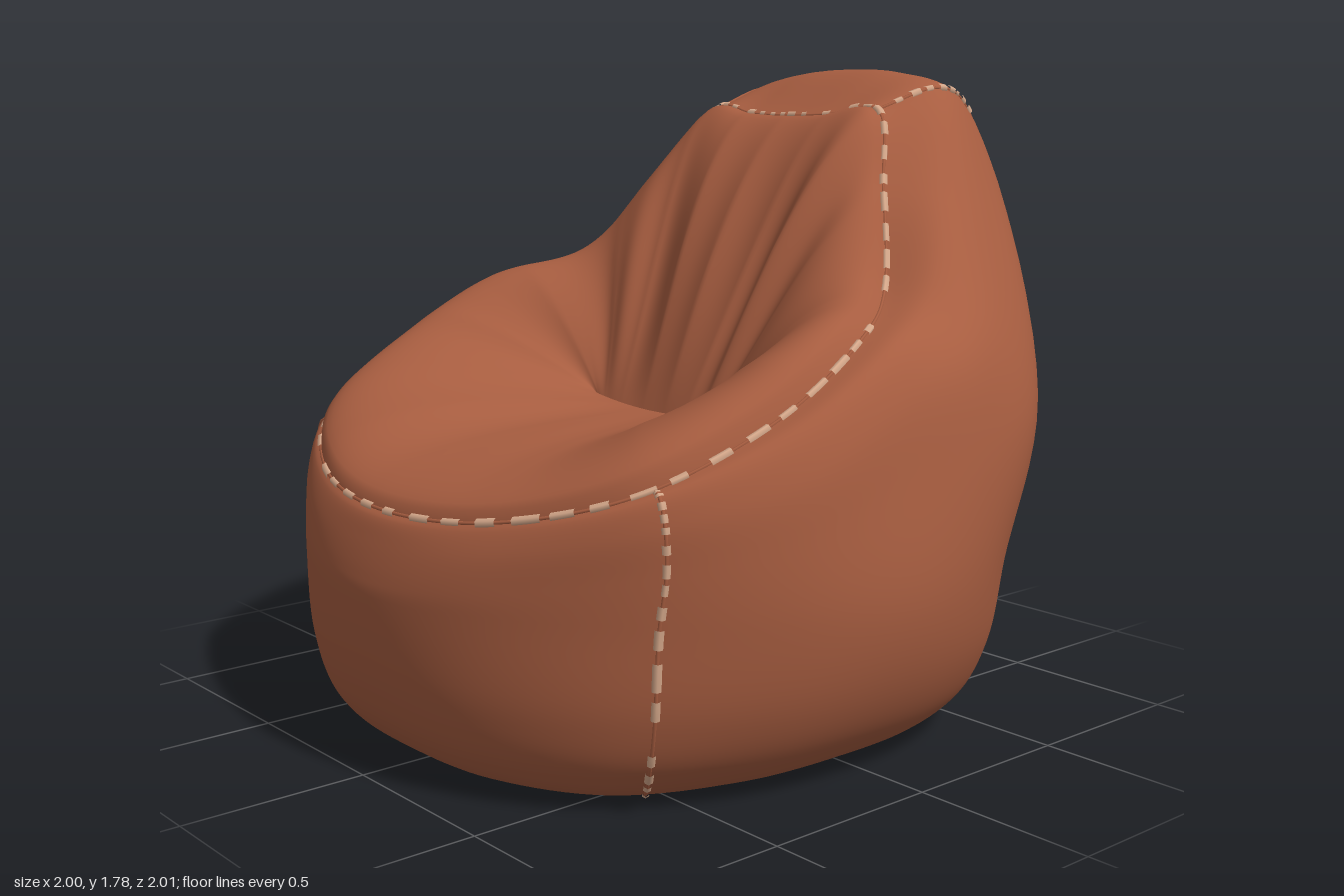
import * as THREE from 'three';
import { mergeGeometries } from 'three/addons/utils/BufferGeometryUtils.js';

const V = (x, y, z) => new THREE.Vector3(x, y, z);

// Half-columns run from front centre (0) round the model's left to back centre (9)
const ANGLES = [0, 22, 45, 68, 88, 105, 122, 140, 160, 180].map(THREE.MathUtils.degToRad);
const COLUMNS = 18;

// Closed smooth ring through ten points and their mirror images
function ring(half) {
  const mirrored = half.slice(1, -1).reverse().map(p => V(-p.x, p.y, p.z));
  return new THREE.CatmullRomCurve3([...half, ...mirrored], true);
}
// Oval ring; square pushes its diagonals outward
const ovalRing = (y, width, front, back, square = 0) => ring(ANGLES.map(a => {
  const k = 1 + square * Math.sin(2 * a) ** 2;
  return V(k * width * Math.sin(a), y, k * Math.cos(a) * (Math.cos(a) > 0 ? front : back));
}));
const shapedRing = pts => ring(pts.map(p => V(...p)));

const seamRing = shapedRing([
  [0, .68, .92], [.4, .71, .85], [.7, .8, .66], [.81, .95, .33], [.78, 1.11, .02],
  [.62, 1.21, -.24], [.46, 1.46, -.4], [.33, 1.67, -.51], [.16, 1.655, -.49], [0, 1.65, -.485]]);

// Rings of the outer bag, from the underside up to the seat seam
const RINGS = [
  ovalRing(.01, .0005, .0005, .0005),
  ovalRing(.01, .69, .79, .62, .1),
  ovalRing(.1, .845, .92, .78, .05),
  ovalRing(.25, .945, .98, .855, .02),
  ovalRing(.48, 1, .998, .91),
  shapedRing([[0, .53, .99], [.38, .55, .92], [.73, .61, .69], [.93, .68, .36], [.97, .8, 0],
    [.95, .83, -.28], [.85, .87, -.59], [.63, .95, -.83], [.33, 1, -.93], [0, 1.05, -.965]]),
  shapedRing([[0, .61, .965], [.39, .63, .9], [.735, .72, .685], [.915, .83, .35], [.93, 1, 0],
    [.88, 1.08, -.29], [.72, 1.22, -.59], [.31, 1.66, -.925], [.16, 1.66, -.965], [0, 1.66, -.98]]),
  shapedRing([[0, .665, .94], [.395, .69, .87], [.72, .785, .675], [.87, .93, .34], [.865, 1.1, 0],
    [.75, 1.2, -.27], [.59, 1.43, -.5], [.35, 1.73, -.75], [.18, 1.775, -.76], [0, 1.785, -.765]]),
  seamRing,
];
const UNDERSIDE_EDGE = 1 / (RINGS.length - 1);

// Outer skin: u goes round, v goes from the underside to the seam
function shellPoint(u, v) {
  const p = new THREE.CatmullRomCurve3(RINGS.map(r => r.getPoint(u))).getPoint(v);
  p.y = Math.max(p.y, 0);
  return p;
}

// Seat skin: t goes from the seam inward to the crease where back meets seat
const coreRing = ring(ANGLES.map(a => V(.26 * Math.sin(a), .83 + .02 * Math.sin(a) ** 2, .03)));
function seatPoint(u, t) {
  const seam = seamRing.getPoint(u);
  const p = seam.clone().lerp(coreRing.getPoint(u), t);
  const arm = Math.min(1, (seam.x / .8) ** 2);
  const puff = (.075 + .06 * arm) * Math.sin(Math.PI * Math.pow(t, .6));
  // Radiating folds, strongest on the arms and back
  const a = u * Math.PI * 2;
  const strength = .3 + .35 * (1 - Math.cos(a));
  const broad = Math.sin(8 * a + 1.6 * Math.sin(3 * a) + 2 * t);
  const fine = 1 - 2 * Math.abs(Math.sin(8 * a + .5 * Math.sin(2 * a + 1) + t));
  const fold = Math.sin(Math.PI * t) * strength * (.02 * broad + .007 * fine);
  return p.addScaledVector(V(0, .8, .6), puff + fold);
}

// Surface grid that wraps round in u
function skin(point, nu, nv) {
  const pos = [], index = [];
  for (let j = 0; j <= nv; j++)
    for (let i = 0; i < nu; i++) pos.push(...point(i / nu, j / nv).toArray());
  for (let j = 0; j < nv; j++)
    for (let i = 0; i < nu; i++) {
      const k = (i + 1) % nu;
      const a = j * nu + i, b = j * nu + k, c = b + nu, d = a + nu;
      index.push(a, b, d, b, c, d);
    }
  const g = new THREE.BufferGeometry();
  g.setAttribute('position', new THREE.Float32BufferAttribute(pos, 3));
  g.setIndex(index);
  g.computeVertexNormals();
  return g;
}

// Tube along part of a path
function cord(path, s0, s1, steps, radius) {
  const pts = [];
  for (let i = 0; i <= steps; i++) pts.push(path(s0 + (s1 - s0) * i / steps));
  return new THREE.TubeGeometry(new THREE.CatmullRomCurve3(pts), steps * 2, radius, 6);
}

// Worn broken stitches along a path
function stitches(path, count, keep, seed) {
  const rand = () => (seed = (seed * 16807) % 2147483647) / 2147483647;
  const bits = [];
  for (let i = 0; i < count; i++) {
    const length = .4 + .35 * rand();
    if (rand() > keep) continue;
    const s = (i + .1) / count;
    bits.push(cord(path, s, s + length / count, 2, .009 + .004 * rand()));
  }
  return mergeGeometries(bits);
}

export function createModel() {
  const model = new THREE.Group();
  const leather = new THREE.MeshStandardMaterial({ color: 0xa75d40 });
  const thread = new THREE.MeshStandardMaterial({ color: 0xd8aa8c });
  const add = (name, geometry, material) => {
    const mesh = new THREE.Mesh(geometry, material);
    mesh.name = name;
    model.add(mesh);
  };

  add('outerBag', skin(shellPoint, 144, 64), leather);
  add('seatCushion', skin(seatPoint, 216, 36), leather);

  // Seam round the seat
  const loop = s => seamRing.getPoint(s);
  add('seatSeam', cord(loop, 0, 1, 120, .005), leather);
  add('seatStitches', stitches(loop, 66, .85, 71), thread);

  // Seams down the front corners, over the cap sides and down the back
  for (const side of [1, -1]) {
    // Path from the seat seam to the underside, drifting by some columns
    const column = (k, drift) => s => {
      const u = (k + drift * s) / COLUMNS;
      return shellPoint(side > 0 ? u : 1 - u, 1 + (UNDERSIDE_EDGE - 1) * s);
    };
    const front = side > 0 ? column(2.1, .15) : column(1.93, .27), back = column(7, 0);
    const label = side > 0 ? 'left' : 'right';
    add(label + 'FrontSeam', cord(front, 0, 1, 30, .005), leather);
    add(label + 'BackSeam', cord(back, 0, 1, 40, .005), leather);
    add(label + 'FrontStitches', stitches(front, 18, side > 0 ? .85 : .4, 37 + side), thread);
    add(label + 'BackStitches', stitches(back, 30, .25, 915 + side), thread);
  }
  return model;
}
